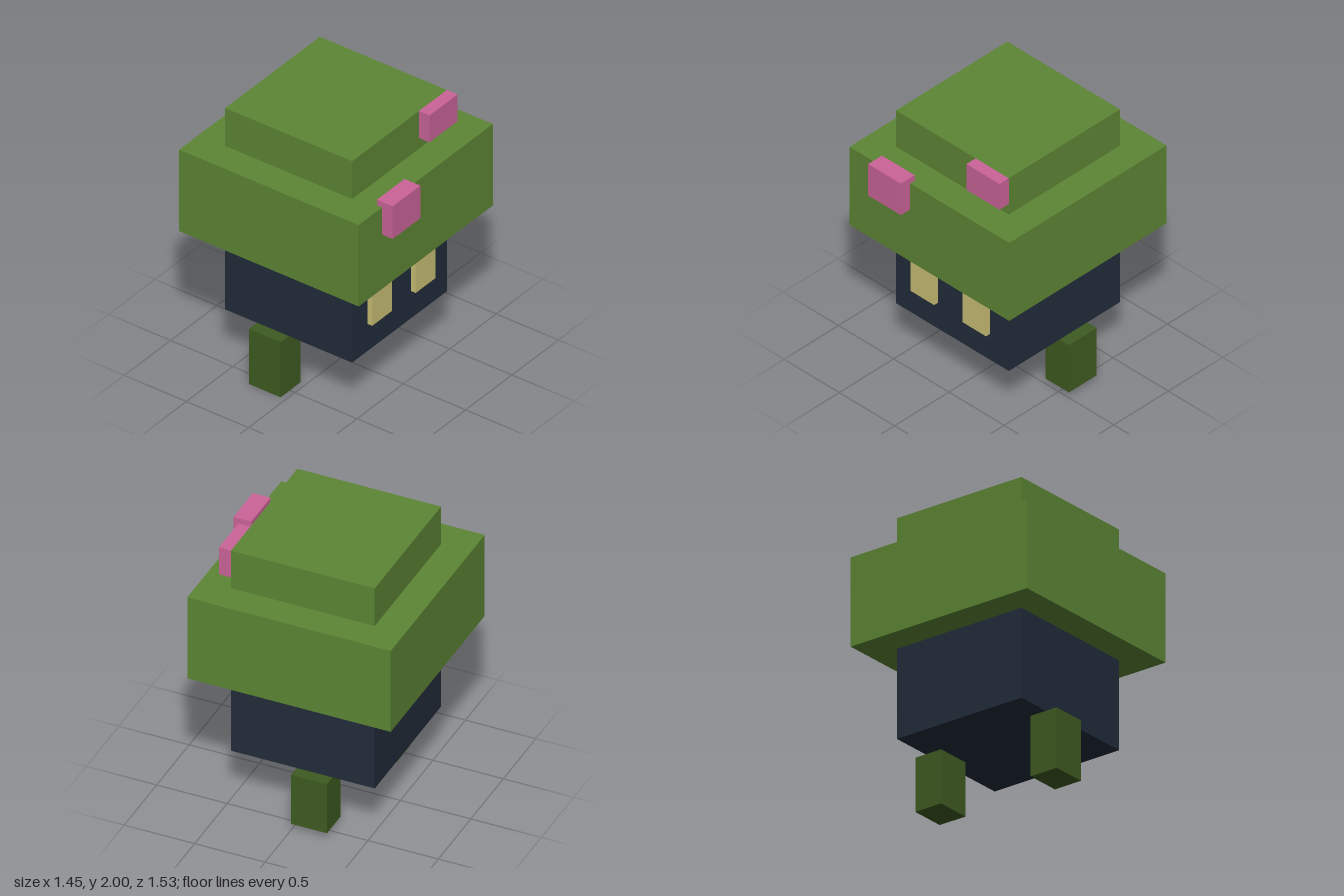
import * as THREE from 'three';

const material = (name, color) => {
  const m = new THREE.MeshStandardMaterial({ color });
  m.name = name;
  return m;
};

export function createModel() {
  const leaf = material('leaf green', 0x5d8635);
  const darkLeaf = material('dark leaf green', 0x3f5b21);
  const navy = material('dark navy', 0x212c3a);
  const blossom = material('blossom pink', 0xcb6499);
  const straw = material('pale yellow', 0xc9bf74);

  const group = new THREE.Group();
  group.name = 'bushCreature';

  // Box spanning the given [min, max] ranges
  const box = (name, mat, [x0, x1], [y0, y1], [z0, z1]) => {
    const mesh = new THREE.Mesh(new THREE.BoxGeometry(x1 - x0, y1 - y0, z1 - z0), mat);
    mesh.position.set((x0 + x1) / 2, (y0 + y1) / 2, (z0 + z1) / 2);
    mesh.name = name;
    group.add(mesh);
  };

  // Body and two-tier foliage
  box('body', navy, [-0.51, 0.51], [0.43, 1.07], [-0.553, 0.468]);
  box('lowerFoliage', leaf, [-0.723, 0.723], [1.07, 1.705], [-0.765, 0.68]);
  box('upperFoliage', leaf, [-0.51, 0.51], [1.705, 2], [-0.553, 0.468]);

  // Eyes
  box('rightEye', straw, [-0.342, -0.13], [0.64, 0.895], [0.468, 0.504]);
  box('leftEye', straw, [0.127, 0.34], [0.64, 0.895], [0.468, 0.504]);

  // Legs, caught mid-step
  box('rightLeg', darkLeaf, [-0.598, -0.385], [0, 0.43], [-0.297, -0.042]);
  box('leftLeg', darkLeaf, [0.383, 0.595], [0.045, 0.43], [-0.253, 0.002]);

  // Blossoms
  box('lowerBlossom', blossom, [-0.47, -0.173], [1.493, 1.748], [0.638, 0.765]);
  box('upperBlossom', blossom, [0.21, 0.51], [1.79, 2], [0.468, 0.553]);

  return group;
}
